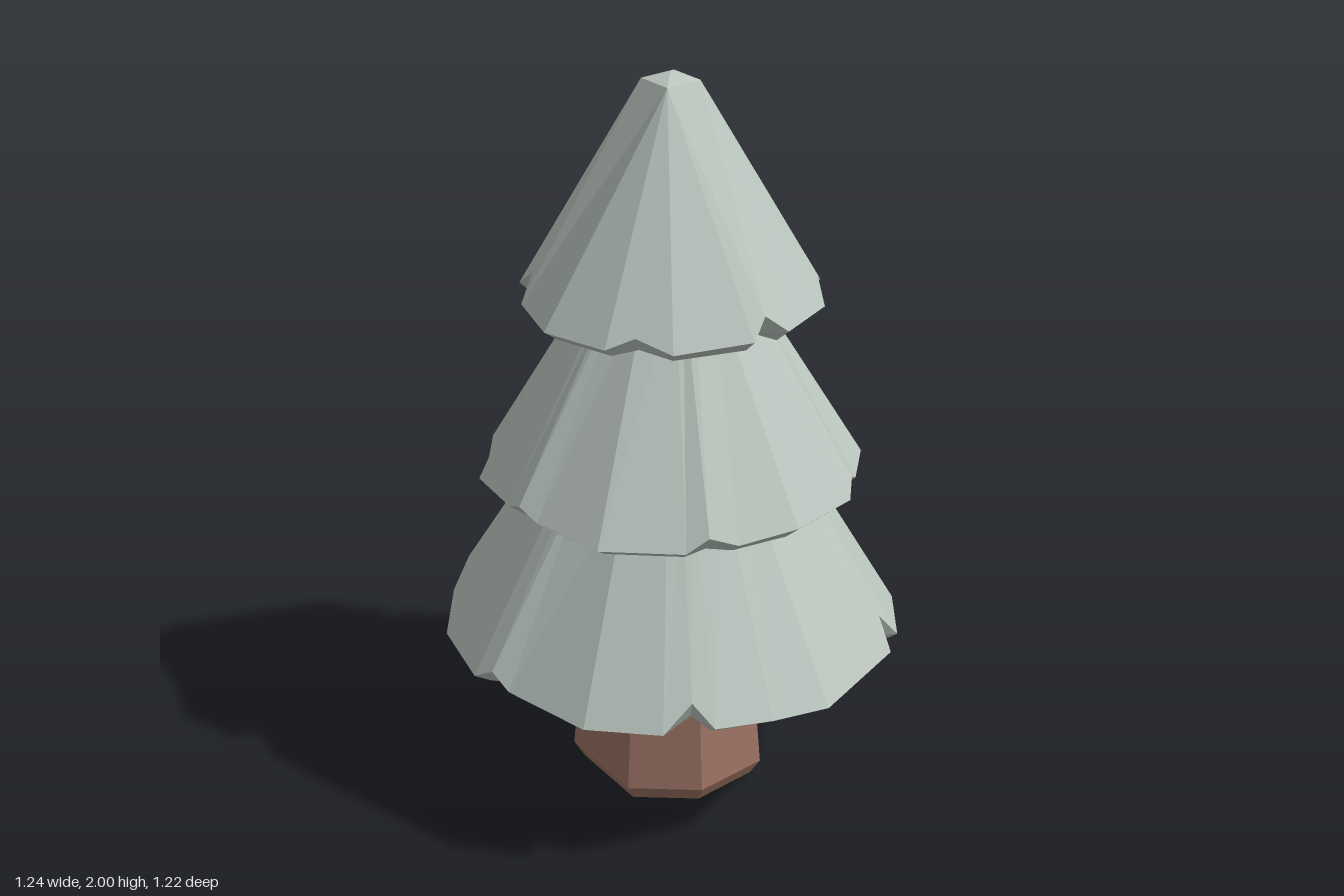
import * as THREE from 'three';

const foliage = new THREE.MeshStandardMaterial({ color: 0xbac5be });
foliage.name = 'paleGreen';
const bark = new THREE.MeshStandardMaterial({ color: 0x9c7364 });
bark.name = 'barkBrown';

// Skin between rings of [x, y, z] points with faceted normals
function loft(rings, material, name) {
  const pos = [];
  for (let r = 0; r < rings.length - 1; r++) {
    const a = rings[r], b = rings[r + 1], n = a.length;
    for (let i = 0; i < n; i++) {
      const j = (i + 1) % n;
      pos.push(...a[i], ...b[i], ...a[j], ...a[j], ...b[i], ...b[j]);
    }
  }
  const geo = new THREE.BufferGeometry();
  geo.setAttribute('position', new THREE.Float32BufferAttribute(pos, 3));
  geo.computeVertexNormals();
  const mesh = new THREE.Mesh(geo, material);
  mesh.name = name;
  return mesh;
}

// Circle of points at the same angles as an outline
const circle = (outline, radius, y) => outline.map(([x, z]) => {
  const l = Math.hypot(x, z);
  return [x / l * radius, y, z / l * radius];
});

// Small four-cornered ring that gathers the outline points by quadrant
const square = (outline, half, y) => outline.map(([x, z]) => [x < 0 ? -half : half, y, z < 0 ? -half : half]);

// Skirt of branches: hollow underside, lip, notched rim, sloping side
function tier(name, { rim, rimY, lipY, lipScale, inner, top }) {
  return loft([
    circle(rim, ...inner),
    rim.map(([x, z, rise = 0]) => [x * lipScale, lipY + rise * 0.5, z * lipScale]),
    rim.map(([x, z, rise = 0]) => [x, rimY + rise, z]),
    ...top,
  ], foliage, name);
}

// Rim outlines: x, z and the rise above the rim height
const lowerRim = [
  [0.62, -0.02], [0.59, 0.14, 0.01], [0.54, 0.29, 0.02], [0.485, 0.32, 0.08], [0.47, 0.40, 0.01],
  [0.31, 0.53], [0.06, 0.582, 0.01], [0, 0.59, 0.045], [-0.06, 0.605, 0.01], [-0.30, 0.53],
  [-0.47, 0.39, 0.01], [-0.48, 0.33, 0.09], [-0.54, 0.30, 0.02], [-0.62, 0, 0.03],
  [-0.53, -0.29, 0.01], [-0.49, -0.34, 0.06], [-0.46, -0.41, 0.01], [-0.30, -0.54],
  [-0.06, -0.61, 0.01], [0.03, -0.61, 0.01], [0.30, -0.54], [0.47, -0.40, 0.01],
  [0.47, -0.33, 0.09], [0.54, -0.31, 0.02],
];
const middleRim = [
  [0.51, 0, 0.02], [0.47, 0.16, 0.01], [0.44, 0.23, 0.04], [0.41, 0.28], [0.26, 0.44],
  [0.06, 0.48, 0.01], [0, 0.49, 0.035], [-0.06, 0.48, 0.01], [-0.25, 0.44], [-0.335, 0.35],
  [-0.37, 0.31, 0.04], [-0.42, 0.27, 0.01], [-0.51, 0, 0.02], [-0.46, -0.18, 0.01],
  [-0.43, -0.25, 0.04], [-0.40, -0.29], [-0.25, -0.45], [0, -0.50, 0.01],
  [0.25, -0.45], [0.36, -0.33], [0.41, -0.27, 0.04], [0.46, -0.22, 0.01],
];
const upperRim = [
  [0.39, -0.06, 0.01], [0.37, 0, 0.06], [0.39, 0.05, 0.01], [0.31, 0.24], [0.225, 0.29, 0.03],
  [0.18, 0.35], [0, 0.40], [-0.18, 0.34], [-0.205, 0.285, 0.065], [-0.30, 0.26],
  [-0.39, 0.05, 0.02], [-0.375, 0, 0.05], [-0.385, -0.05, 0.02], [-0.31, -0.26],
  [-0.22, -0.31, 0.03], [-0.17, -0.36], [0, -0.40], [0.17, -0.36],
  [0.22, -0.305, 0.04], [0.31, -0.25],
];

// Seven-sided trunk cross-section near its top
const trunkOutline = [
  [0.2, 0.07], [0.09, 0.195], [-0.14, 0.175], [-0.2, -0.03],
  [-0.13, -0.18], [0.05, -0.2], [0.19, -0.11],
];
const trunkRing = (s, y) => trunkOutline.map(([x, z]) => [x * s, y, z * s]);

export function createModel() {
  const tree = new THREE.Group();
  tree.name = 'tree';

  tree.add(loft([
    trunkRing(0, 0), trunkRing(1.07, 0.01), trunkRing(1.2, 0.055), trunkRing(0.98, 0.62),
  ], bark, 'trunk'));

  tree.add(tier('lowerBranches', {
    rim: lowerRim, rimY: 0.462, lipY: 0.437, lipScale: 0.92,
    inner: [0.15, 0.58], top: [circle(lowerRim, 0.3, 1.01)],
  }));
  tree.add(tier('middleBranches', {
    rim: middleRim, rimY: 0.92, lipY: 0.89, lipScale: 0.91,
    inner: [0.28, 0.95], top: [circle(middleRim, 0.165, 1.5)],
  }));
  tree.add(tier('upperBranches', {
    rim: upperRim, rimY: 1.41, lipY: 1.38, lipScale: 0.9,
    inner: [0.15, 1.42], top: [square(upperRim, 0.052, 1.98), circle(upperRim, 0, 2)],
  }));
  return tree;
}
